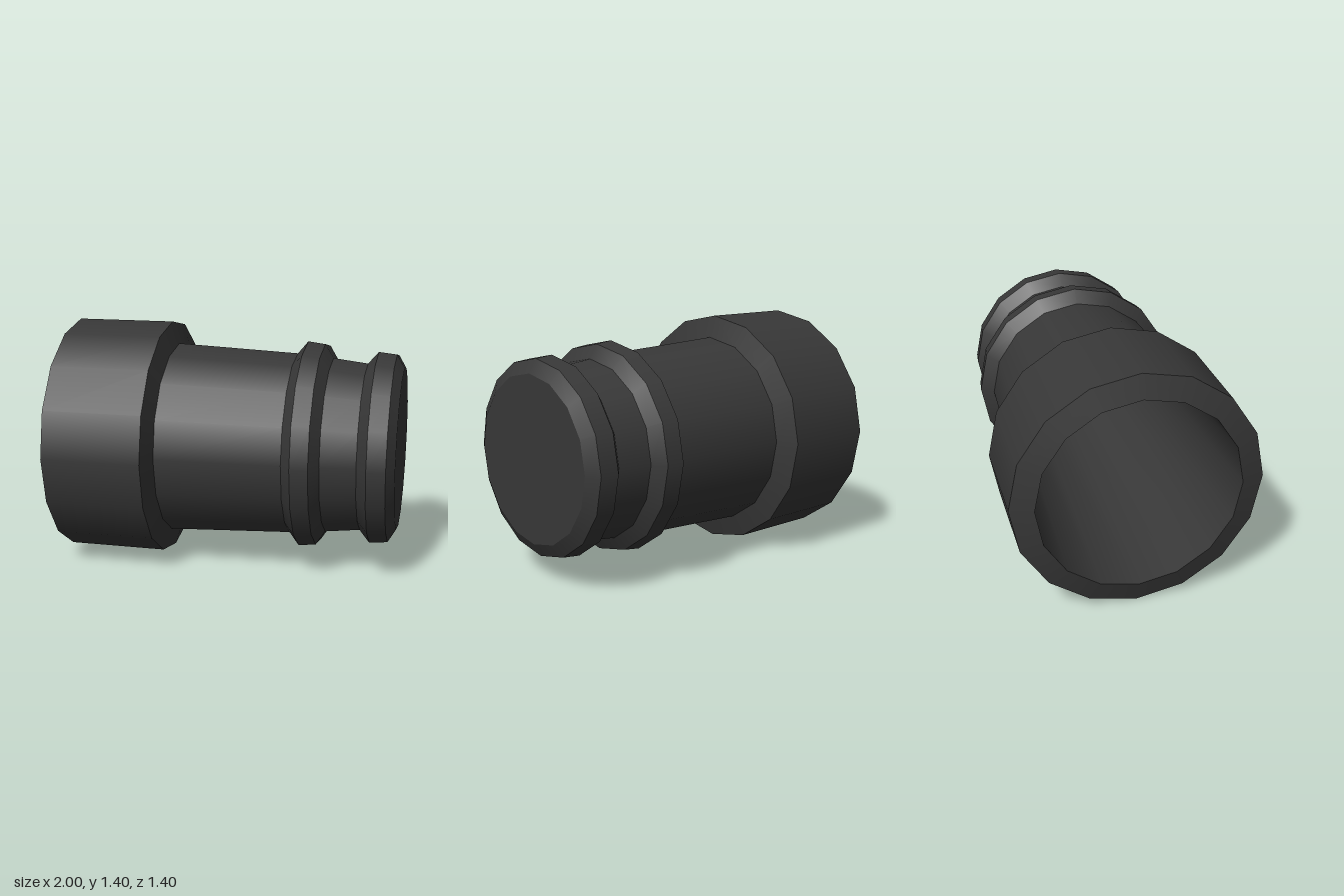
import * as THREE from 'three';
import { mergeGeometries } from 'three/addons/utils/BufferGeometryUtils.js';

const SIDES = 16;
const AXIS_Y = 0.7;

// Turns a profile of [x, radius] points around the x axis, with a sharp edge at each point.
function turned(profile) {
  const bands = [];
  for (let i = 0; i < profile.length - 1; i++) {
    const points = [profile[i], profile[i + 1]].map(([x, r]) => new THREE.Vector2(r, x));
    bands.push(new THREE.LatheGeometry(points, SIDES));
  }
  return mergeGeometries(bands).rotateZ(-Math.PI / 2).translate(0, AXIS_Y, 0);
}

export function createModel() {
  const group = new THREE.Group();
  group.name = 'fitting';

  const black = new THREE.MeshStandardMaterial({ color: 0x383838 });
  black.name = 'black plastic';

  const parts = {
    // Hollow inside, closed at the narrow end
    bore: [[0.94, 0], [0.94, 0.47], [-1, 0.57]],
    // Wide bevelled sleeve around the open end
    collar: [[-1, 0.57], [-0.96, 0.7], [-0.38, 0.7], [-0.34, 0.57]],
    // Tapered body
    barrel: [[-0.34, 0.57], [0.38, 0.537]],
    middleRidge: [[0.38, 0.537], [0.44, 0.61], [0.54, 0.597], [0.59, 0.517]],
    neck: [[0.59, 0.517], [0.79, 0.493]],
    endRidge: [[0.79, 0.493], [0.85, 0.563], [0.955, 0.552], [1, 0.475]],
    endCap: [[1, 0.475], [1, 0]],
  };

  for (const [name, profile] of Object.entries(parts)) {
    const mesh = new THREE.Mesh(turned(profile), black);
    mesh.name = name;
    group.add(mesh);
  }
  return group;
}
